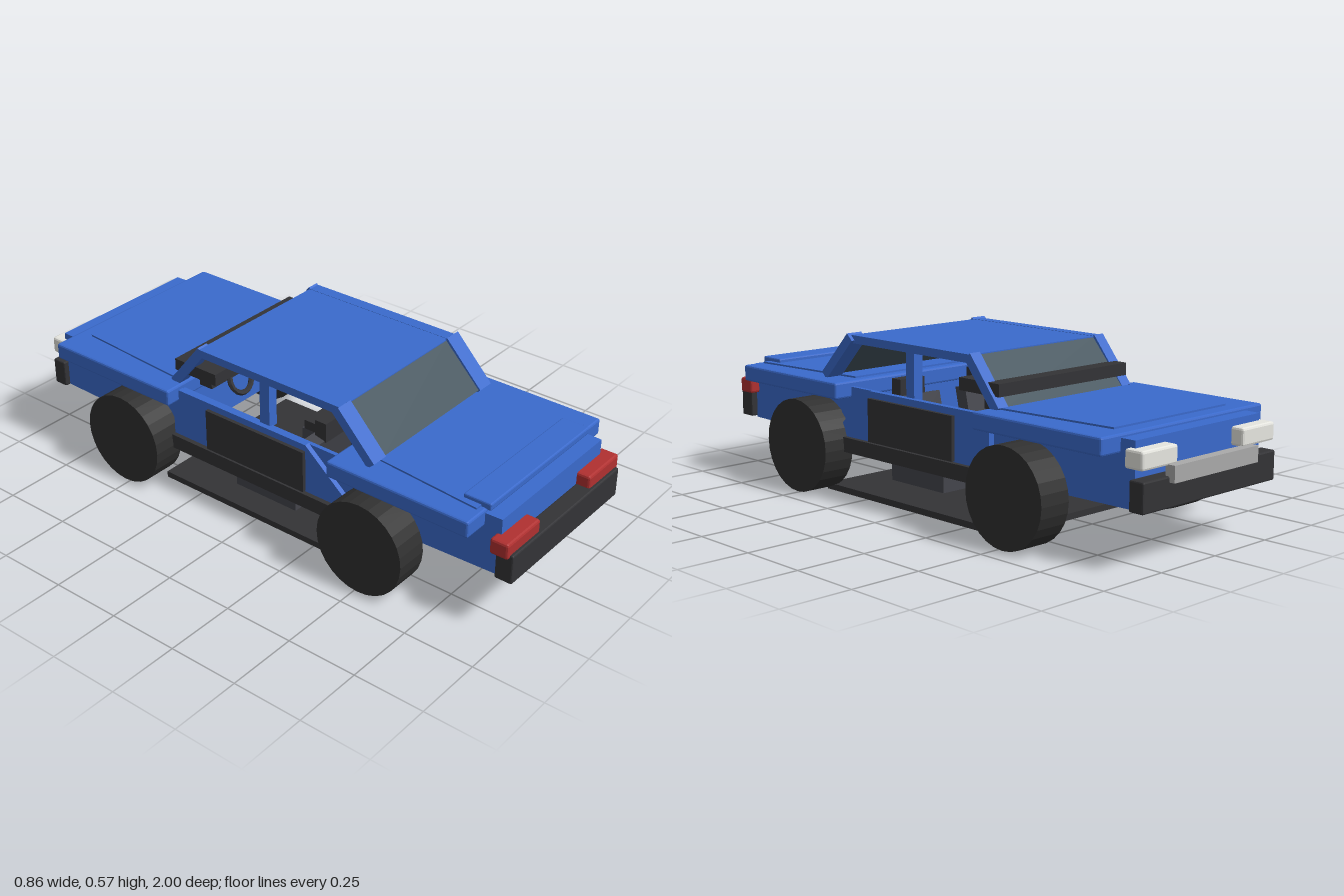
import * as THREE from 'three';
import { RoundedBoxGeometry } from 'three/addons/geometries/RoundedBoxGeometry.js';

const paint = (color) => new THREE.MeshStandardMaterial({ color, flatShading: true });
const BLUE = paint(0x3a6acc), BLACK = paint(0x333336), TYRE = paint(0x303030), RED = paint(0xb03030);
const WHITE = paint(0xe6e6e0), SILVER = paint(0xaaaaaa), GLASS = paint(0x42535c), SEAT = paint(0x44454c);

export function createModel() {
  const car = new THREE.Group();
  car.name = 'car';

  const add = (name, geometry, material) => {
    const mesh = new THREE.Mesh(geometry, material);
    mesh.name = name;
    car.add(mesh);
    return mesh;
  };

  // Box given by its limits on each axis, with an optional small bevel
  const box = (name, material, [x0, x1], [y0, y1], [z0, z1], bevel = 0) => {
    const size = [x1 - x0, y1 - y0, z1 - z0];
    const geometry = bevel ? new RoundedBoxGeometry(...size, 1, bevel) : new THREE.BoxGeometry(...size);
    const mesh = add(name, geometry, material);
    mesh.position.set((x0 + x1) / 2, (y0 + y1) / 2, (z0 + z1) / 2);
    return mesh;
  };

  // The same box on the left and right
  const pair = (name, material, [x0, x1], y, z, bevel) => {
    box(name + 'Left', material, [x0, x1], y, z, bevel);
    box(name + 'Right', material, [-x1, -x0], y, z, bevel);
  };

  // Side profile of [z, y] points, extruded across x
  const profile = (name, material, points, [x0, x1]) => {
    const shape = new THREE.Shape(points.map(([z, y]) => new THREE.Vector2(-z, y)));
    const geometry = new THREE.ExtrudeGeometry(shape, { depth: x1 - x0, bevelEnabled: false });
    geometry.rotateY(Math.PI / 2).translate(x0, 0, 0);
    return add(name, geometry, material);
  };

  // Plan outline of [x, z] points, extruded upwards
  const plan = (name, material, points, [y0, y1]) => {
    const shape = new THREE.Shape(points.map(([x, z]) => new THREE.Vector2(x, -z)));
    const geometry = new THREE.ExtrudeGeometry(shape, { depth: y1 - y0, bevelEnabled: false });
    geometry.rotateX(-Math.PI / 2).translate(0, y0, 0);
    return add(name, geometry, material);
  };

  // Sloping bar between two [z, y] points
  const bar = (name, material, [x0, x1], a, b, thickness) => {
    const dz = b[0] - a[0], dy = b[1] - a[1];
    const mesh = add(name, new THREE.BoxGeometry(x1 - x0, thickness, Math.hypot(dz, dy)), material);
    mesh.position.set((x0 + x1) / 2, (a[1] + b[1]) / 2, (a[0] + b[0]) / 2);
    mesh.rotation.x = -Math.atan2(dy, dz);
    return mesh;
  };

  // End compartments, narrowing slightly towards the bumpers
  plan('frontBody', BLUE, [[-0.31, 0.38], [-0.288, 0.94], [0.288, 0.94], [0.31, 0.38]], [0.19, 0.393]);
  plan('rearBody', BLUE, [[-0.31, -0.35], [-0.295, -0.93], [0.295, -0.93], [0.31, -0.35]], [0.185, 0.393]);

  // Wide slabs above the wheels with raised lids
  box('frontFenderSlab', BLUE, [-0.382, 0.382], [0.347, 0.405], [0.345, 0.88], 0.007);
  box('rearFenderSlab', BLUE, [-0.382, 0.382], [0.347, 0.405], [-0.875, -0.335], 0.007);
  plan('frontLid', BLUE, [[-0.265, 0.38], [-0.308, 0.86], [0.308, 0.86], [0.265, 0.38]], [0.39, 0.411]);
  plan('rearLid', BLUE, [[-0.3, -0.35], [-0.265, -0.82], [0.265, -0.82], [0.3, -0.35]], [0.39, 0.411]);
  box('frontLip', BLUE, [-0.283, 0.283], [0.4, 0.425], [0.795, 0.895], 0.005);

  // Bumpers, lamps and plate
  box('frontBumper', BLACK, [-0.312, 0.312], [0.195, 0.298], [0.938, 1], 0.005);
  pair('frontLamp', RED, [0.145, 0.325], [0.285, 0.34], [0.922, 0.988], 0.008);
  box('rearBumper', BLACK, [-0.315, 0.315], [0.183, 0.28], [-0.98, -0.925], 0.005);
  pair('rearLamp', WHITE, [0.155, 0.315], [0.31, 0.37], [-0.975, -0.905], 0.008);
  box('rearPlate', SILVER, [-0.2, 0.2], [0.262, 0.315], [-1, -0.965]);

  for (const s of [1, -1]) {
    const side = s > 0 ? 'Left' : 'Right';
    const span = (a, b) => (s > 0 ? [a, b] : [-b, -a]);

    // Doors with an angled corner and a dark insert
    box('innerPanel' + side, BLUE, span(0.297, 0.312), [0.2, 0.385], [-0.36, 0.4]);
    profile('door' + side, BLUE, [[0.4, 0.205], [0.4, 0.235], [0.22, 0.388], [-0.36, 0.388], [-0.36, 0.205]], span(0.31, 0.33));
    box('doorInsert' + side, BLACK, span(0.32, 0.343), [0.215, 0.365], [-0.2, 0.22]);
    box('sill' + side, BLACK, span(0.3, 0.347), [0.16, 0.212], [-0.38, 0.38]);

    // Roof rail and pillars
    box('roofRail' + side, BLUE, span(0.268, 0.312), [0.538, 0.566], [-0.25, 0.35]);
    box('middlePillar' + side, BLUE, span(0.275, 0.312), [0.38, 0.555], [0.015, 0.055]);
    bar('frontPillar' + side, BLUE, span(0.262, 0.325), [0.478, 0.41], [0.335, 0.56], 0.034);
    bar('rearPillar' + side, BLUE, span(0.268, 0.312), [-0.37, 0.4], [-0.24, 0.56], 0.034);

    // Seat base, cushion and leaning backrest
    box('seatBase' + side, SEAT, span(0.055, 0.297), [0.087, 0.145], [-0.11, 0.15]);
    box('seatCushion' + side, BLACK, span(0.055, 0.297), [0.145, 0.18], [-0.1, 0.15]);
    bar('seatBack' + side, SEAT, span(0.06, 0.29), [0.15, 0.16], [0.195, 0.36], 0.05);
    box('headrest' + side, BLACK, span(0.12, 0.23), [0.35, 0.42], [0.18, 0.225]);

    // Wheels
    for (const [end, z] of [['front', 0.511], ['rear', -0.52]]) {
      const geometry = new THREE.CylinderGeometry(0.165, 0.165, 0.118, 28).rotateZ(Math.PI / 2);
      add(end + 'Wheel' + side, geometry, TYRE).position.set(s * 0.369, 0.169, z);
    }
  }

  // Roof and windscreens
  box('roof', BLUE, [-0.272, 0.272], [0.545, 0.565], [-0.25, 0.345]);
  bar('frontWindscreen', GLASS, [-0.265, 0.265], [0.478, 0.415], [0.338, 0.558], 0.015);
  bar('rearWindscreen', GLASS, [-0.27, 0.27], [-0.375, 0.405], [-0.243, 0.558], 0.015);

  // Dashboard and steering wheel
  box('dashboard', BLACK, [-0.3, 0.3], [0.443, 0.485], [-0.372, -0.19]);
  box('dashboardSupport', BLACK, [-0.25, 0.25], [0.385, 0.445], [-0.31, -0.255]);
  const steering = add('steeringWheel', new THREE.TorusGeometry(0.05, 0.01, 6, 16), BLACK);
  steering.position.set(-0.17, 0.415, -0.195);
  steering.rotation.x = -0.4;

  // Flat plate beneath the car
  box('groundPlate', BLACK, [-0.325, 0.325], [0.004, 0.026], [-0.415, 0.47]);

  return car;
}
